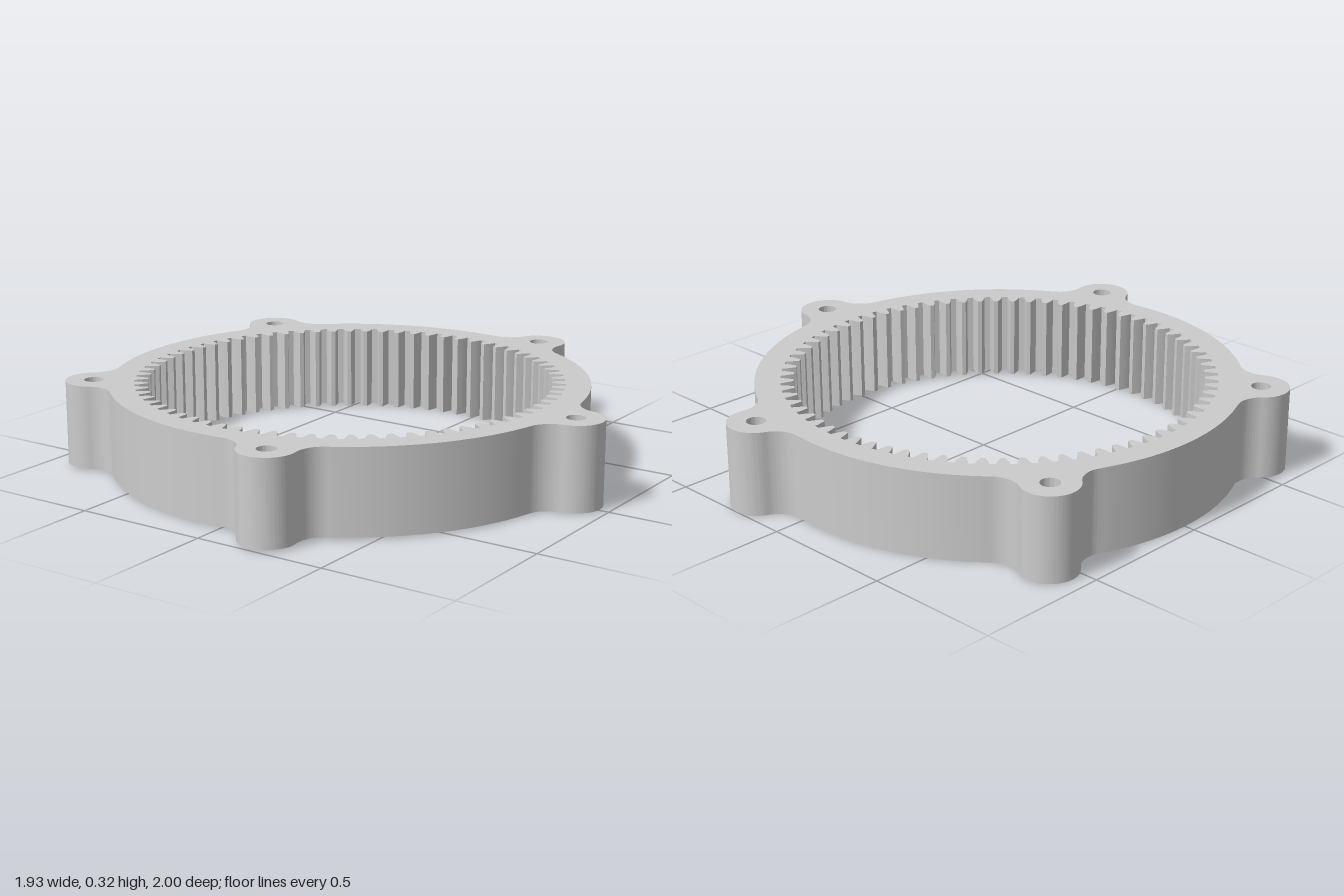
import * as THREE from 'three';
import { toCreasedNormals } from 'three/addons/utils/BufferGeometryUtils.js';

const HEIGHT = 0.312;
const RING = 0.885;          // outer radius of the ring
const LUG_CENTRE = 0.943;    // distance of the bolt holes from the axis
const LUG = 0.103;           // lug radius
const FILLET = 0.1;          // blend between lug and ring
const HOLE = 0.035;
const LUGS = 5;
const TEETH = 72;

const polar = (r, a) => new THREE.Vector2(r * Math.cos(a), r * Math.sin(a));
const direction = (from, to) => Math.atan2(to.y - from.y, to.x - from.x);

// Outer outline: ring arcs joined to round lugs by tangent fillets
function outline() {
  const shape = new THREE.Shape();
  const d = RING + FILLET;
  const spread = Math.acos((d * d + LUG_CENTRE ** 2 - (LUG + FILLET) ** 2) / (2 * d * LUG_CENTRE));
  const step = (Math.PI * 2) / LUGS;
  for (let i = 0; i < LUGS; i++) {
    const a = i * step;
    const lug = polar(LUG_CENTRE, a);
    const before = polar(d, a - spread);
    const after = polar(d, a + spread);
    shape.absarc(before.x, before.y, FILLET, a - spread + Math.PI, direction(before, lug), true);
    shape.absarc(lug.x, lug.y, LUG, direction(lug, before), direction(lug, after), false);
    shape.absarc(after.x, after.y, FILLET, direction(after, lug), a + spread + Math.PI, true);
    shape.absarc(0, 0, RING, a + spread, a + step - spread, false);

    const hole = new THREE.Path();
    hole.absarc(lug.x, lug.y, HOLE, 0, Math.PI * 2, true);
    shape.holes.push(hole);
  }
  return shape;
}

// Inner opening: inward teeth, each given as [radius, half width in pitches]
function toothedOpening() {
  const flank = [[0.792, 0.34], [0.78, 0.315], [0.762, 0.23], [0.744, 0.12]];
  const profile = [
    ...flank.map(([r, w]) => [r, -w]),
    ...flank.slice().reverse(),
  ];
  const points = [];
  for (let i = 0; i < TEETH; i++) {
    for (const [r, w] of profile) points.push(polar(r, ((i + w) / TEETH) * Math.PI * 2));
  }
  return new THREE.Path(points.reverse());
}

export function createModel() {
  const shape = outline();
  shape.holes.push(toothedOpening());

  const extruded = new THREE.ExtrudeGeometry(shape, { depth: HEIGHT, bevelEnabled: false, curveSegments: 28 });
  extruded.translate(0, 0, -HEIGHT / 2);
  extruded.rotateX(-Math.PI / 2);

  const ring = new THREE.Mesh(
    toCreasedNormals(extruded, 0.45),
    new THREE.MeshStandardMaterial({ color: 0xcccccc }),
  );
  ring.name = 'internalRingGear';
  ring.position.set(-0.08, 0.16, 0);
  ring.rotation.x = -0.004; // rests with a very slight tilt

  const model = new THREE.Group();
  model.name = 'ringGear';
  model.add(ring);
  return model;
}
